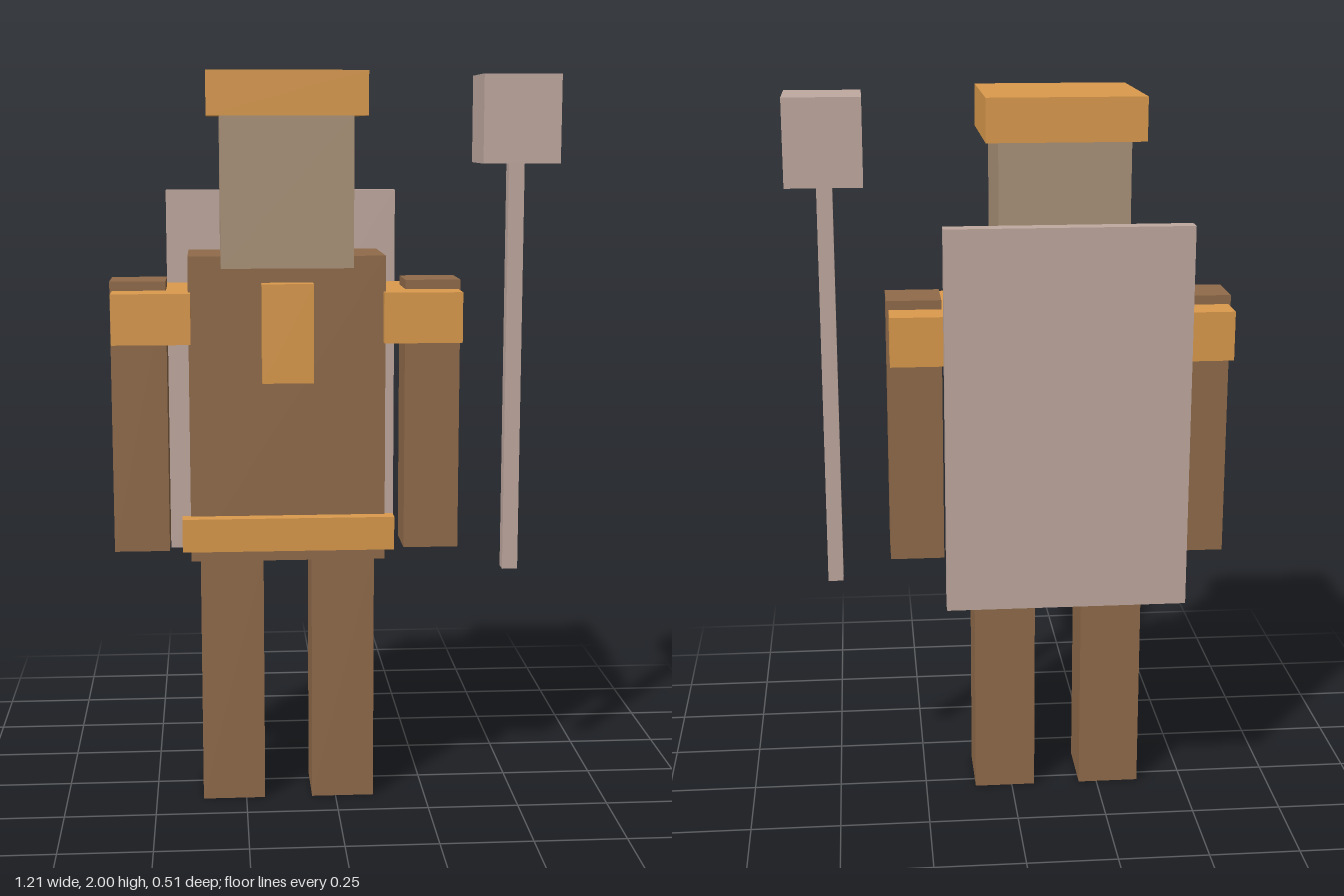
import * as THREE from 'three';

export function createModel() {
  const model = new THREE.Group();
  const CX = -0.132, CZ = 0.045; // body axis
  const material = (color) => new THREE.MeshStandardMaterial({ color, flatShading: true });
  const brown = material(0x906b4a);
  const gold = material(0xdb9a4c);
  const skin = material(0xab9379);
  const stone = material(0xc0a9a0);

  // Box of given size, standing on height y
  function box(name, mat, w, h, d, x, y, z) {
    const mesh = new THREE.Mesh(new THREE.BoxGeometry(w, h, d), mat);
    mesh.name = name;
    mesh.position.set(x, y + h / 2, z);
    model.add(mesh);
  }

  // Body and head
  box('torso', brown, 0.525, 0.825, 0.28, CX, 0.695, CZ);
  box('head', skin, 0.35, 0.4, 0.35, CX, 1.49, CZ);
  box('hat', gold, 0.42, 0.115, 0.42, CX, 1.885, CZ);

  // Limbs and shoulder pads, mirrored about the body axis
  for (const [side, s] of [['left', 1], ['right', -1]]) {
    box(side + 'Leg', brown, 0.172, 0.695, 0.186, CX + s * 0.152, 0, 0.048);
    box(side + 'Arm', brown, 0.15, 0.74, 0.15, CX + s * 0.397, 0.71, CZ);
    box(side + 'ShoulderPad', gold, 0.209, 0.135, 0.35, CX + s * 0.361, 1.29, CZ);
  }

  // Chest ornament and belt
  box('chestOrnament', gold, 0.137, 0.263, 0.052, CX, 1.187, 0.207);
  box('belt', gold, 0.57, 0.09, 0.05, CX, 0.73, 0.2);

  // Cape behind the back
  box('cape', stone, 0.653, 1.04, 0.047, CX, 0.64, -0.234);

  // Staff with a block head, floating at the left side
  box('staffShaft', stone, 0.043, 1.13, 0.043, 0.497, 0.63, CZ);
  box('staffHead', stone, 0.208, 0.235, 0.208, 0.497, 1.76, CZ);

  return model;
}
